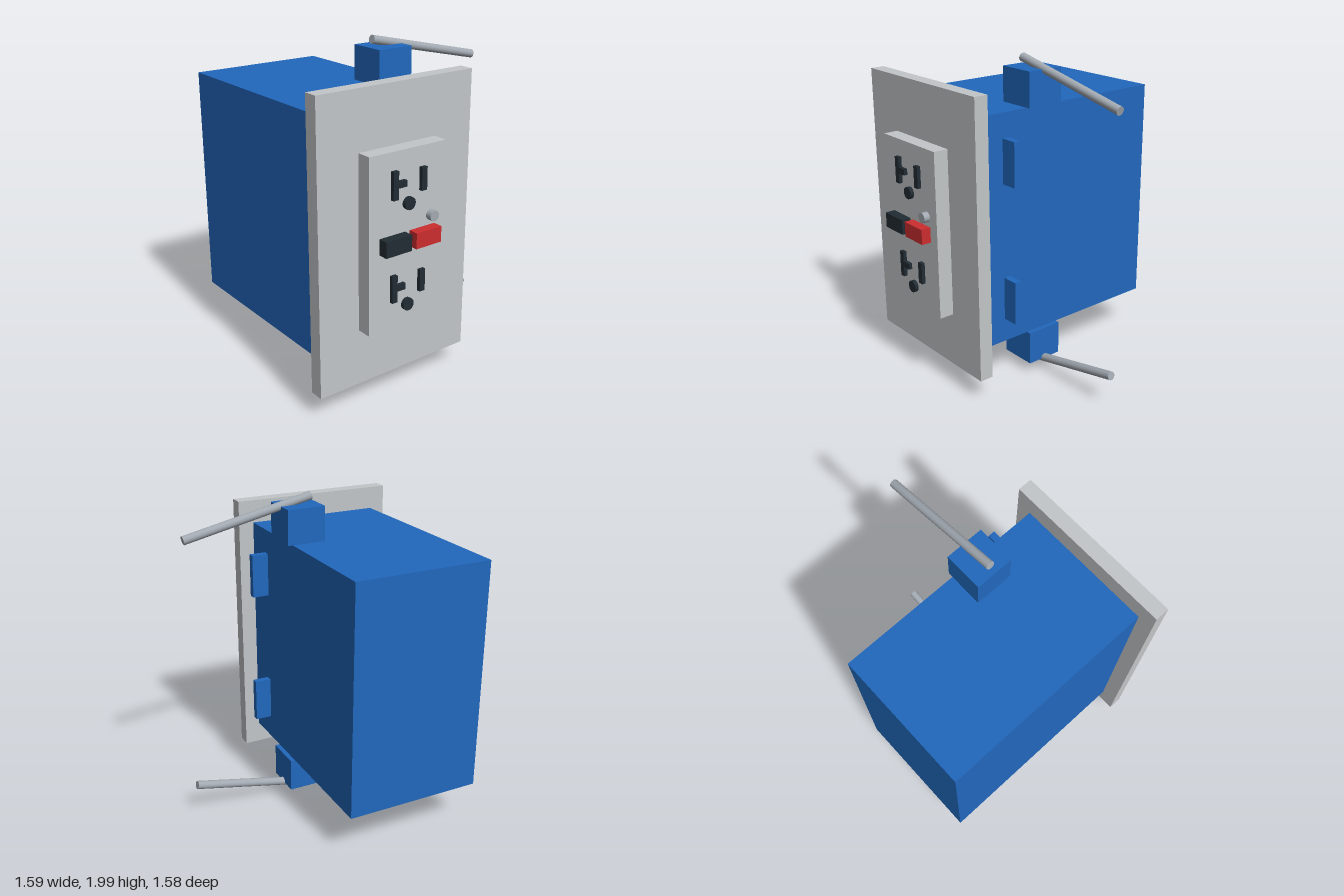
import * as THREE from 'three';

const flat = (name, color) => {
  const m = new THREE.MeshStandardMaterial({ color });
  m.name = name;
  return m;
};

export function createModel() {
  const blue = flat('boxBlue', 0x2168bd);
  const grey = flat('plateGrey', 0xc3c6c8);
  const metal = flat('screwMetal', 0xa2a9b1);
  const dark = flat('slotDark', 0x212c33);
  const red = flat('buttonRed', 0xcc2d2f);

  const model = new THREE.Group();
  model.name = 'wallOutlet';

  const add = (parent, name, geometry, material) => {
    const mesh = new THREE.Mesh(geometry, material);
    mesh.name = name;
    parent.add(mesh);
    return mesh;
  };
  // Box given by its limits on each axis
  const block = (parent, name, material, [x0, x1], [y0, y1], [z0, z1]) =>
    add(parent, name, new THREE.BoxGeometry(x1 - x0, y1 - y0, z1 - z0), material)
      .position.set((x0 + x1) / 2, (y0 + y1) / 2, (z0 + z1) / 2);
  // Round peg along z
  const peg = (parent, name, material, x, y, r, z0, z1) => {
    const mesh = add(parent, name, new THREE.CylinderGeometry(r, r, z1 - z0, 24), material);
    mesh.rotation.x = Math.PI / 2;
    mesh.position.set(x, y, (z0 + z1) / 2);
  };
  // Round rod between two points
  const rod = (parent, name, material, a, b, r) => {
    const dir = b.clone().sub(a);
    const mesh = add(parent, name, new THREE.CylinderGeometry(r, r, dir.length(), 24), material);
    mesh.position.copy(a).add(b).multiplyScalar(0.5);
    mesh.quaternion.setFromUnitVectors(new THREE.Vector3(0, 1, 0), dir.normalize());
  };

  // Junction box, cover plate and raised outlet face
  block(model, 'junctionBox', blue, [-0.70, 0.158], [0.286, 1.72], [-0.789, 0.548]);
  block(model, 'coverPlate', grey, [-0.798, 0.255], [0.145, 1.863], [0.548, 0.636]);
  block(model, 'outletFace', grey, [-0.535, -0.01], [0.488, 1.52], [0.636, 0.728]);

  // Screw lugs and angled nails, above and below
  const z = 0.079;
  block(model, 'upperLug', blue, [-0.052, 0.188], [1.72, 1.932], [-0.04, 0.198]);
  block(model, 'lowerLug', blue, [-0.052, 0.188], [0.074, 0.286], [-0.04, 0.198]);
  for (const [name, s] of [['upperNail', 1], ['lowerNail', -1]]) {
    rod(model, name, metal,
      new THREE.Vector3(-0.016, 1.003 + s * 0.971, z),
      new THREE.Vector3(0.785, 1.003 + s * 0.794, z), 0.026);
  }

  // Side locating tabs
  for (const y of [0.437, 1.298])
    block(model, 'sideTab', blue, [0.158, 0.262], [y, y + 0.272], [0.329, 0.373]);

  // Two sockets: T slot, straight slot and ground hole
  for (const [name, y] of [['upperSocket', 1.337], ['lowerSocket', 0.735]]) {
    const socket = new THREE.Group();
    socket.name = name;
    model.add(socket);
    const depth = [0.728, 0.751];
    block(socket, 'tallSlot', dark, [-0.39, -0.354], [y - 0.083, y + 0.079], depth);
    block(socket, 'crossSlot', dark, [-0.354, -0.297], [y - 0.019, y + 0.018], depth);
    block(socket, 'straightSlot', dark, [-0.193, -0.156], [y - 0.067, y + 0.066], depth);
    peg(socket, 'groundHole', dark, -0.272, y - 0.122, 0.037, ...depth);
  }

  // Test and reset buttons, indicator light
  block(model, 'testButton', dark, [-0.466, -0.288], [0.957, 1.05], [0.728, 0.789]);
  block(model, 'resetButton', red, [-0.256, -0.078], [0.957, 1.05], [0.728, 0.789]);
  peg(model, 'indicatorLight', metal, -0.108, 1.109, 0.031, 0.728, 0.766);

  return model;
}
